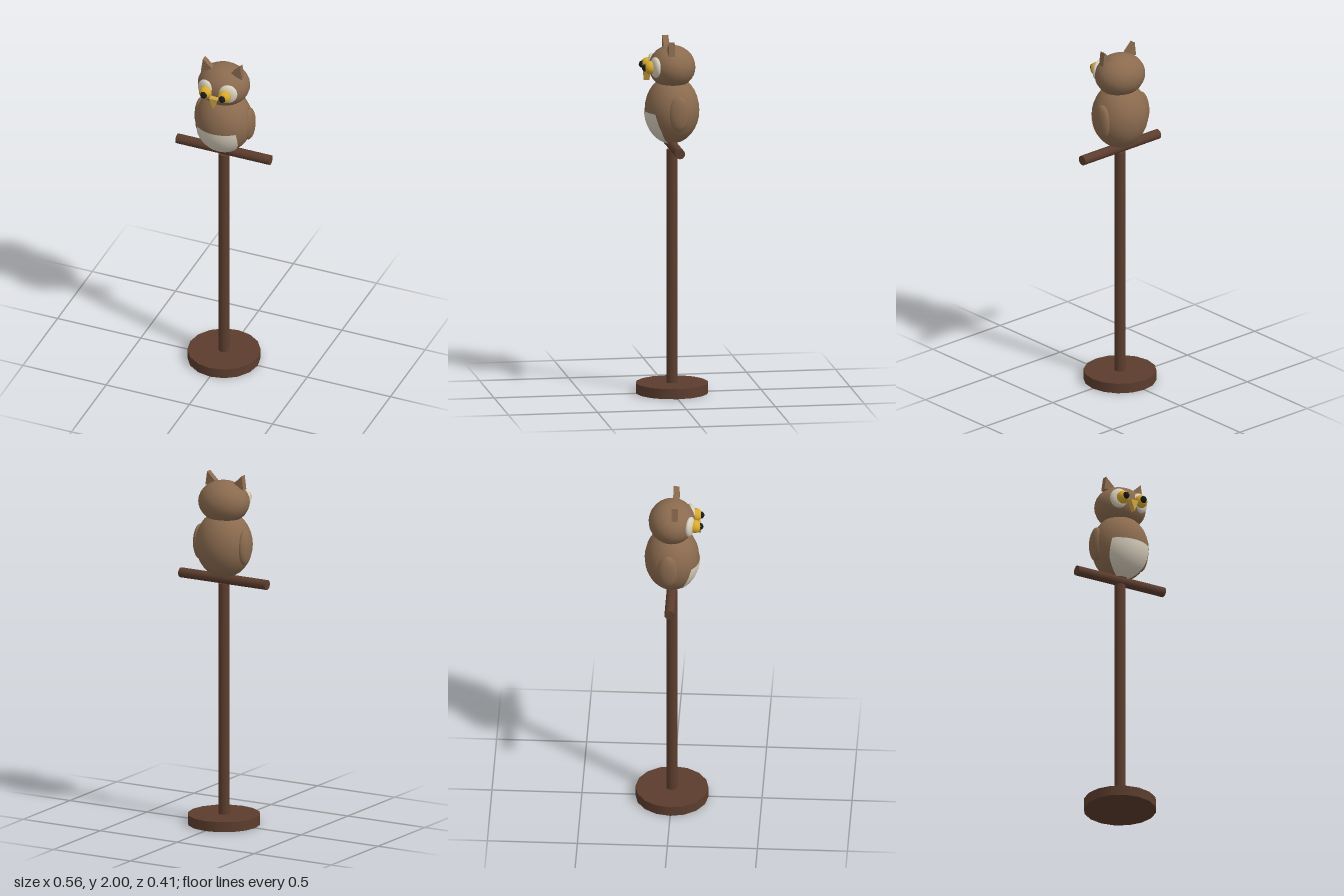
import * as THREE from 'three';

const mat = (name, color) => {
  const m = new THREE.MeshStandardMaterial({ color });
  m.name = name;
  return m;
};

export function createModel() {
  const wood = mat('dark wood', 0x5c3d2e);
  const brown = mat('brown feathers', 0x8b6b4f);
  const cream = mat('cream feathers', 0xd9d0be);
  const yellow = mat('yellow iris', 0xd9aa2e);
  const horn = mat('beak horn', 0xd0a545);
  const black = mat('black pupil', 0x1a1a1a);

  const model = new THREE.Group();
  model.name = 'owlOnPerch';

  const add = (name, geometry, material, x = 0, y = 0, z = 0) => {
    const mesh = new THREE.Mesh(geometry, material);
    mesh.name = name;
    mesh.position.set(x, y, z);
    model.add(mesh);
    return mesh;
  };
  const ellipsoid = (rx, ry, rz, w = 24, h = 16) =>
    new THREE.SphereGeometry(1, w, h).scale(rx, ry, rz);
  // Flat triangle with thickness along z
  const wedge = (points, depth) => new THREE.ExtrudeGeometry(
    new THREE.Shape(points.map(([x, y]) => new THREE.Vector2(x, y))),
    { depth, bevelEnabled: false });

  // Stand
  add('base', new THREE.CylinderGeometry(0.203, 0.203, 0.057, 16), wood, 0, 0.0285, 0);
  add('pole', new THREE.CylinderGeometry(0.031, 0.031, 1.32, 16), wood, 0, 0.715, 0);
  add('perch', new THREE.CylinderGeometry(0.028, 0.028, 0.562, 16).rotateZ(Math.PI / 2),
    wood, 0, 1.4, 0);

  // Body and head
  const R = [0.163, 0.19, 0.152];
  add('body', ellipsoid(...R), brown, 0, 1.6, 0);
  add('head', ellipsoid(0.148, 0.12, 0.13), brown, 0, 1.842, 0);

  // Belly patch: a grid wrapped just over the lower front of the body
  const patch = new THREE.PlaneGeometry(2, 1, 24, 14);
  const p = patch.attributes.position;
  for (let i = 0; i < p.count; i++) {
    const u = p.getX(i), v = 0.5 - p.getY(i);
    const theta = THREE.MathUtils.degToRad(91 + v * 74);
    const phi = u * THREE.MathUtils.degToRad(44 + 11 * Math.min(1, v * 2.2));
    const s = Math.sin(theta) * 1.025;
    p.setXYZ(i, R[0] * s * Math.sin(phi), R[1] * 1.015 * Math.cos(theta), R[2] * s * Math.cos(phi));
  }
  patch.computeVertexNormals();
  const doubleCream = cream;
  doubleCream.side = THREE.DoubleSide;
  add('bellyPatch', patch, doubleCream, 0, 1.6, 0);

  // Mirrored parts
  for (const [side, s] of [['left', 1], ['right', -1]]) {
    add(side + 'Wing', ellipsoid(0.031, 0.1, 0.058, 16, 12), brown, s * 0.145, 1.6, -0.016);

    const ear = [[s * 0.123, 1.92], [s * 0.112, 2.0], [s * 0.05, 1.94]];
    add(side + 'Ear', wedge(ear, 0.034), brown, 0, 0, 0.003);

    const disc = add(side + 'EyeDisc', ellipsoid(0.053, 0.058, 0.024), cream,
      s * 0.066, 1.852, 0.103);
    disc.rotation.y = s * 0.3;
    add(side + 'Iris', ellipsoid(0.037, 0.037, 0.036, 16, 12), yellow, s * 0.057, 1.85, 0.13);
    add(side + 'Pupil', ellipsoid(0.02, 0.021, 0.022, 12, 10), black, s * 0.056, 1.85, 0.156);
  }

  // Beak
  add('beak', wedge([[-0.024, 1.835], [0, 1.77], [0.024, 1.835]], 0.034), horn, 0, 0, 0.126);

  return model;
}
